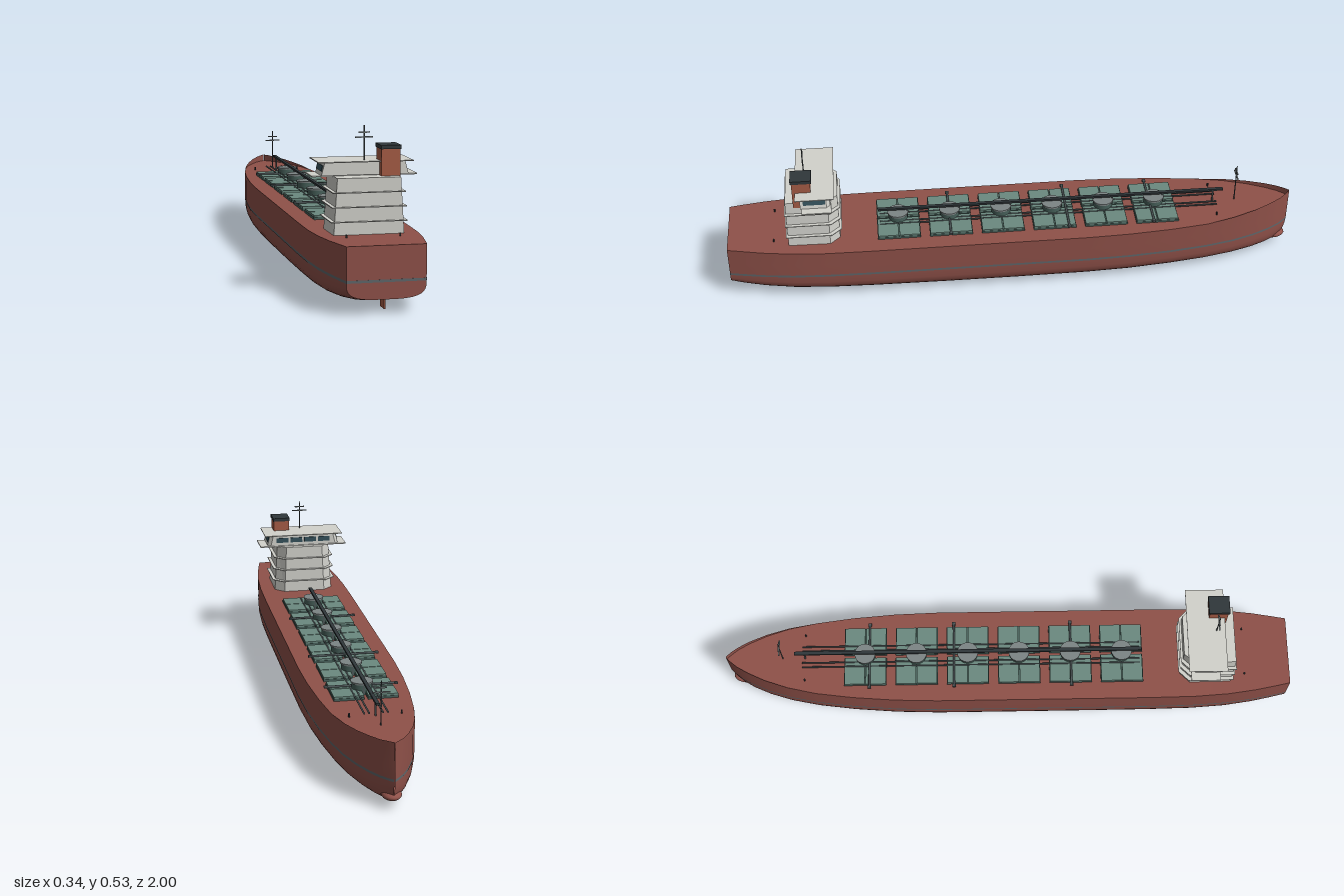
import * as THREE from 'three';

const mat = (color, side = THREE.FrontSide) => new THREE.MeshStandardMaterial({ color, side });
const RED = mat(0x8f5149), HULL = mat(0x8f5149, THREE.DoubleSide), STRIPE = mat(0x5f666a, THREE.DoubleSide);
const WHITE = mat(0xd2d2cc), GREEN = mat(0x6b8a80), DARKGREEN = mat(0x47605a), GREY = mat(0x7d8585);
const DARK = mat(0x30373a), GLASS = mat(0x34505a), FUNNEL = mat(0xa65c46), PIPE = mat(0x4d5658);

// Hull stations: z, half width, keel height, sheer height
const STATIONS = [
  [1, 0.122, 0.045, 0.207], [0.95, 0.132, 0.034, 0.206], [0.88, 0.145, 0.024, 0.204], [0.78, 0.158, 0.015, 0.202],
  [0.66, 0.165, 0.009, 0.2], [0.5, 0.167, 0.005, 0.2], [0.25, 0.167, 0.001, 0.2], [0, 0.167, 0, 0.2],
  [-0.25, 0.167, 0.002, 0.2], [-0.4, 0.162, 0.004, 0.2], [-0.55, 0.15, 0.008, 0.2], [-0.68, 0.133, 0.011, 0.2],
  [-0.78, 0.112, 0.014, 0.207], [-0.86, 0.086, 0.017, 0.213], [-0.92, 0.059, 0.02, 0.218],
  [-0.96, 0.036, 0.023, 0.221], [-0.985, 0.016, 0.026, 0.224], [-1, 0.001, 0.03, 0.225]];

// Surface through equally long rows of points
function loft(rows) {
  const n = rows[0].length, index = [];
  for (let i = 0; i < rows.length - 1; i++) for (let j = 0; j < n - 1; j++) {
    const a = i * n + j, b = a + n;
    index.push(a, a + 1, b, b, a + 1, b + 1);
  }
  const g = new THREE.BufferGeometry();
  g.setAttribute('position', new THREE.Float32BufferAttribute(rows.flat(2), 3));
  g.setIndex(index);
  g.computeVertexNormals();
  return g;
}

// One cross-section from the left rail, under the keel, to the right rail
function section([z, w, keel, top]) {
  const half = [[w, top, z], [w, 0.15, z]];
  for (let i = 0; i <= 10; i++) {
    const a = i / 10 * Math.PI / 2, p = 2 / 3.4;
    const x = w * Math.pow(Math.max(Math.cos(a), 0), p);
    const drop = Math.pow(Math.sin(a), p);
    const rake = z < -0.9 ? 0.02 * drop * drop * (-z - 0.9) / 0.1 : 0;
    half.push([x, 0.1 - (0.1 - keel) * drop, z + rake]);
  }
  return [...half, ...half.slice(0, -1).reverse().map(([x, y, zz]) => [-x, y, zz])];
}

export function createModel() {
  const ship = new THREE.Group();
  const add = (name, geo, material, x = 0, y = 0, z = 0, parent = ship) => {
    const m = new THREE.Mesh(geo, material);
    m.name = name;
    m.position.set(x, y, z);
    parent.add(m);
    return m;
  };
  const box = (name, w, h, d, material, x, y, z, parent) =>
    add(name, new THREE.BoxGeometry(w, h, d), material, x, y, z, parent);
  const group = (name) => {
    const g = new THREE.Group();
    g.name = name;
    ship.add(g);
    return g;
  };

  // Hull shell, transom, deck and waterline stripe
  const rows = STATIONS.map(section);
  add('hull', loft(rows), HULL);
  const stern = new THREE.Shape(rows[0].map(([x, y]) => new THREE.Vector2(x, y)));
  add('transom', new THREE.ShapeGeometry(stern), HULL, 0, 0, 1);
  const deckY = (s) => s[0] < 0 ? 0.2 : s[3];
  add('deck', loft(STATIONS.map((s) => [[-s[1], deckY(s), s[0]], [s[1], deckY(s), s[0]]])), HULL);
  for (const side of [-1, 1]) {
    add('waterlineStripe', loft(STATIONS.map(([z, w]) =>
      [[side * (w + 0.0008), 0.105, z], [side * (w + 0.0008), 0.097, z]])), STRIPE);
  }
  box('transomStripe', 0.244, 0.008, 0.001, STRIPE, 0, 0.101, 1);
  add('bulbousBow', new THREE.SphereGeometry(1, 20, 14), RED, 0, 0.04, -0.953).scale.set(0.032, 0.016, 0.045);
  box('rudder', 0.005, 0.045, 0.045, FUNNEL, 0, 0.034, 0.957);

  // Cargo hatches with paired covers and a round tank dome
  for (let i = 0; i < 6; i++) {
    const z = 0.405 - i * 0.182, hatch = group('cargoHatch');
    for (const side of [-1, 1]) {
      box('hatchCoaming', 0.1, 0.008, 0.15, DARKGREEN, side * 0.056, 0.204, z, hatch);
      for (const half of [-1, 1]) {
        box('hatchCover', 0.098, 0.006, 0.071, GREEN, side * 0.056, 0.211, z + half * 0.0375, hatch);
      }
    }
    add('tankDome', new THREE.CylinderGeometry(0.034, 0.034, 0.034, 20), DARKGREEN, 0, 0.217, z, hatch);
    add('domeLid', new THREE.CylinderGeometry(0.037, 0.037, 0.006, 20), GREY, 0, 0.236, z, hatch);
  }

  // Raised catwalk, deck pipes and cross manifolds
  const piping = group('deckPiping');
  box('catwalk', 0.012, 0.007, 1.23, DARK, 0, 0.25, -0.14, piping);
  for (let z = -0.72; z < 0.48; z += 0.182) box('catwalkPost', 0.005, 0.048, 0.005, PIPE, 0, 0.224, z, piping);
  const pipe = (name, r, length, x, y, z, axis) => {
    const m = add(name, new THREE.CylinderGeometry(r, r, length, 8), PIPE, x, y, z, piping);
    m.rotation[axis] = Math.PI / 2;
  };
  for (const x of [-0.038, -0.022, 0.022, 0.038]) pipe('deckPipe', 0.003, 1.2, x, 0.213, -0.13, 'x');
  for (const z of [-0.49, -0.19, 0.225]) {
    pipe('manifoldPipe', 0.004, 0.244, 0, 0.217, z, 'z');
    for (const side of [-1, 1]) box('manifoldEnd', 0.01, 0.006, 0.012, PIPE, side * 0.117, 0.217, z, piping);
  }

  // Accommodation tower: tapered, with chamfered forward corners and deck ledges
  const house = group('accommodation');
  const footprint = (w, z0, z1, c, h) => {
    const s = new THREE.Shape([[-w, -z1], [w, -z1], [w, -z0 - c], [w - c, -z0], [c - w, -z0], [-w, -z0 - c]]
      .map((p) => new THREE.Vector2(...p)));
    return new THREE.ExtrudeGeometry(s, { depth: h, bevelEnabled: false }).rotateX(-Math.PI / 2);
  };
  const taper = (geo, h, k) => {
    const p = geo.attributes.position;
    for (let i = 0; i < p.count; i++) p.setX(i, p.getX(i) * (1 - k * p.getY(i) / h));
    geo.computeVertexNormals();
    return geo;
  };
  add('tower', taper(footprint(0.111, 0.61, 0.788, 0.034, 0.177), 0.177, 0.1), WHITE, 0, 0.2, 0, house);
  [0.241, 0.286, 0.331].forEach((y, i) =>
    add('deckLedge', footprint(0.12 - i * 0.003, 0.602, 0.794, 0.034, 0.003), WHITE, 0, y, 0, house));

  // Bridge with wings, windows and overhanging roof
  const bridge = group('bridge');
  box('bridgeWing', 0.334, 0.004, 0.1, WHITE, 0, 0.377, 0.68, bridge);
  add('wheelhouse', taper(footprint(0.138, 0.634, 0.735, 0.012, 0.042), 0.042, 0.08), WHITE, 0, 0.379, 0, bridge);
  box('roof', 0.3, 0.003, 0.132, WHITE, 0, 0.421, 0.685, bridge);
  for (let i = 0; i < 4; i++) box('frontWindow', 0.046, 0.018, 0.004, GLASS, -0.081 + i * 0.054, 0.4, 0.633, bridge);
  for (const side of [-1, 1]) {
    const pane = box('sideWindow', 0.004, 0.018, 0.075, GLASS, side * 0.1325, 0.4, 0.687, bridge);
    pane.rotation.z = side * 0.26;
  }

  // Funnel
  const funnel = group('funnel');
  box('funnelCasing', 0.06, 0.1, 0.064, FUNNEL, 0.075, 0.41, 0.728, funnel);
  box('funnelCap', 0.064, 0.012, 0.072, DARK, 0.075, 0.466, 0.728, funnel);

  // Masts with two yards each
  const mast = (name, y0, height, z) => {
    const g = group(name);
    add('pole', new THREE.CylinderGeometry(0.0018, 0.0022, height, 8), PIPE, 0, y0 + height / 2, z, g);
    box('lowerYard', 0.056, 0.004, 0.004, GREY, 0, y0 + height - 0.037, z, g);
    box('upperYard', 0.036, 0.004, 0.004, GREY, 0, y0 + height - 0.022, z, g);
  };
  mast('bridgeMast', 0.421, 0.11, 0.72);
  mast('bowMast', 0.2, 0.145, -0.8);

  // Mooring bollards
  for (const z of [0.84, -0.72]) for (const side of [-1, 1]) {
    add('bollard', new THREE.CylinderGeometry(0.003, 0.003, 0.012, 8), DARK, side * 0.084, 0.207, z);
  }
  return ship;
}
